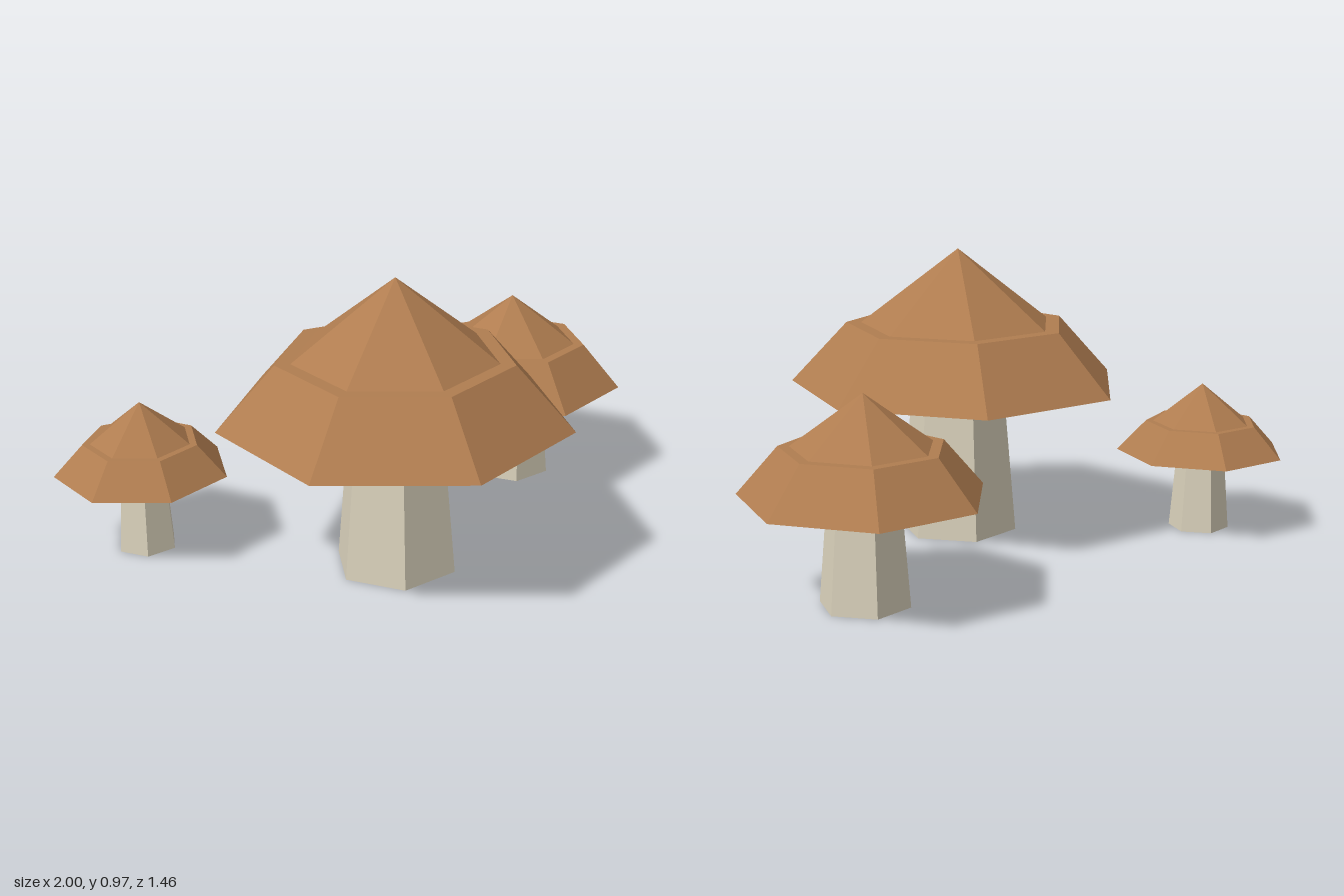
import * as THREE from 'three';

const capBrown = new THREE.MeshStandardMaterial({ color: 0xb07d50, flatShading: true });
capBrown.name = 'cap brown';
const stemCream = new THREE.MeshStandardMaterial({ color: 0xd9d1bb, flatShading: true });
stemCream.name = 'stem cream';

// Tapered prism standing from y0 to y1, with one corner pointing to +x
function taper(name, material, sides, bottomR, topR, y0, y1, open = false) {
  const geometry = new THREE.CylinderGeometry(topR, bottomR, y1 - y0, sides, 1, open, Math.PI / 2);
  geometry.translate(0, (y0 + y1) / 2, 0);
  const mesh = new THREE.Mesh(geometry, material);
  mesh.name = name;
  return mesh;
}

function makeMushroom({ name, x, z, stem, cap, heights }) {
  const [rim, shoulder, tip] = heights;
  const mushroom = new THREE.Group();
  mushroom.name = name;
  mushroom.position.set(x, 0, z);
  mushroom.add(
    taper('stem', stemCream, 6, stem[0], stem[1], 0, rim),
    // seven-sided skirt with a flat ledge on top
    taper('capSkirt', capBrown, 7, cap[0], cap[1], rim, shoulder),
    // pointed crown, narrower than the ledge
    taper('capCrown', capBrown, 7, cap[2], 0, shoulder, tip, true),
  );
  return mushroom;
}

export function createModel() {
  const group = new THREE.Group();
  group.name = 'mushroomCluster';
  const mushrooms = [
    { name: 'largeMushroom', x: -0.18, z: 0.17, stem: [0.203, 0.158], cap: [0.57, 0.38, 0.33], heights: [0.51, 0.715, 0.97] },
    { name: 'mediumMushroom', x: 0.613, z: -0.168, stem: [0.143, 0.115], cap: [0.386, 0.257, 0.222], heights: [0.34, 0.49, 0.655] },
    { name: 'smallMushroom', x: -0.742, z: -0.45, stem: [0.102, 0.08], cap: [0.287, 0.19, 0.165], heights: [0.27, 0.373, 0.505] },
  ];
  for (const m of mushrooms) group.add(makeMushroom(m));
  return group;
}
